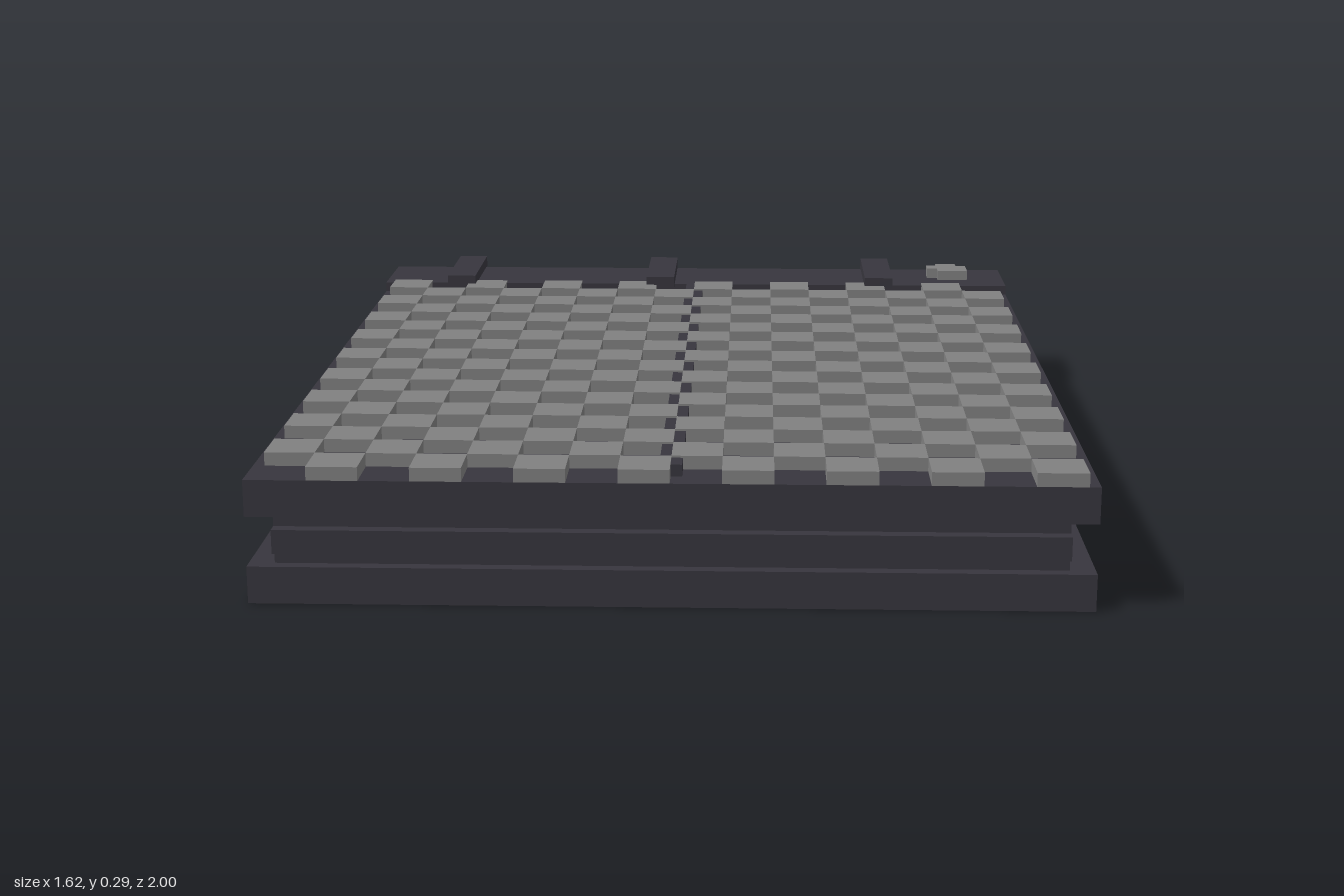
import * as THREE from 'three';

export function createModel() {
  const model = new THREE.Group();
  model.name = 'checkeredBoard';

  const dark = new THREE.MeshStandardMaterial({ color: 0x37353d });
  dark.name = 'charcoal';
  const light = new THREE.MeshStandardMaterial({ color: 0x808080 });
  light.name = 'grey';

  // Box given by its minimum and maximum on each axis
  function block(name, material, [x0, x1], [y0, y1], [z0, z1], parent = model) {
    const mesh = new THREE.Mesh(new THREE.BoxGeometry(x1 - x0, y1 - y0, z1 - z0), material);
    mesh.position.set((x0 + x1) / 2, (y0 + y1) / 2, (z0 + z1) / 2);
    mesh.name = name;
    parent.add(mesh);
    return mesh;
  }

  // Two wide slabs with a narrower core between them
  const width = [-0.812, 0.812], depth = [-0.975, 1];
  block('lowerSlab', dark, width, [0, 0.074], depth);
  block('core', dark, [-0.762, 0.762], [0.074, 0.174], [-0.975, 0.975]);
  block('frontRib', dark, [-0.762, 0.762], [0.1, 0.148], [0.975, 1]);
  block('upperSlab', dark, width, [0.174, 0.247], depth);
  block('rearBorder', dark, width, [0.247, 0.27], [-0.975, -0.76]);

  // Low ridge down the middle of the board
  block('centreRidge', dark, [-0.022, 0.022], [0.247, 0.27], [-0.76, 0.95]);

  // Raised tiles on every other square
  const tiles = new THREE.Group();
  tiles.name = 'raisedTiles';
  model.add(tiles);
  const columns = 16, rows = 18, size = 0.0987;
  for (let row = 0; row < rows; row++) {
    for (let col = row % 2; col < columns; col += 2) {
      const x = (col - columns / 2) * size;
      const z = 1 - (rows - row) * size;
      block('tile', light, [x, x + size], [0.247, 0.274], [z, z + size], tiles);
    }
  }

  // Hinge straps reaching past the rear edge
  for (const x of [-0.609, -0.089, 0.479]) {
    block('hingeStrap', dark, [x - 0.036, x + 0.036], [0.268, 0.295], [-1, -0.73]);
  }

  // Small stepped knob in the rear corner
  const knob = new THREE.Group();
  knob.name = 'cornerKnob';
  model.add(knob);
  const knobY = [0.268, 0.295];
  block('knobBack', light, [0.64, 0.692], knobY, [-0.928, -0.903], knob);
  block('knobMiddle', light, [0.614, 0.717], knobY, [-0.903, -0.862], knob);
  block('knobFront', light, [0.64, 0.717], knobY, [-0.862, -0.834], knob);

  return model;
}
